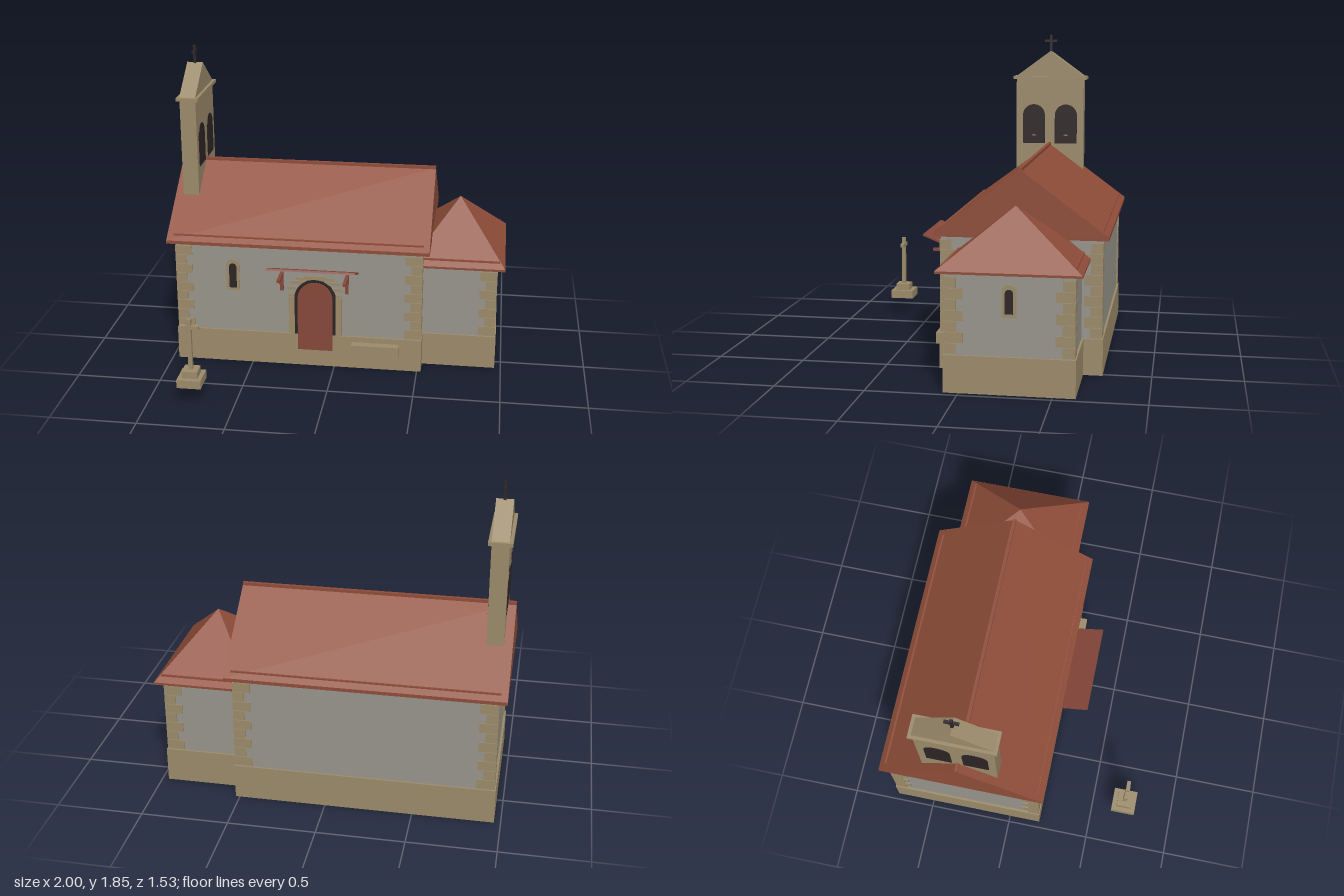
import * as THREE from 'three';

const mat = (name, color) => Object.assign(new THREE.MeshStandardMaterial({ color }), { name });

export function createModel() {
  const stone = mat('stone', 0x9c8b6b);
  const plaster = mat('plaster', 0x97958b);
  const tile = mat('roofTile', 0x8f4d39);
  const wood = mat('wood', 0x87483a);
  const dark = mat('darkOpening', 0x2d2424);

  const model = new THREE.Group();
  model.name = 'chapel';
  const ZC = -0.27; // long axis of the building

  const add = (name, geo, m, parent = model) => {
    const mesh = new THREE.Mesh(geo, m);
    mesh.name = name;
    parent.add(mesh);
    return mesh;
  };
  const group = (name) => {
    const g = new THREE.Group();
    g.name = name;
    model.add(g);
    return g;
  };
  // box given by its limits
  const box = (name, m, x0, x1, y0, y1, z0, z1, parent) => add(name,
    new THREE.BoxGeometry(x1 - x0, y1 - y0, z1 - z0)
      .translate((x0 + x1) / 2, (y0 + y1) / 2, (z0 + z1) / 2), m, parent);
  const polygon = (pts) => new THREE.Shape(pts.map(([x, y]) => new THREE.Vector2(x, y)));
  const extrude = (shape, depth) => new THREE.ExtrudeGeometry(shape, { depth, bevelEnabled: false, curveSegments: 10 });

  // hollow rectangle of walls, open at top and bottom
  const walls = (name, m, x0, x1, y0, y1, z0, z1, t) => {
    const rect = (d) => [[x0 + d, -z1 + d], [x1 - d, -z1 + d], [x1 - d, -z0 - d], [x0 + d, -z0 - d]];
    const shape = polygon(rect(0));
    shape.holes.push(polygon(rect(t)));
    add(name, extrude(shape, y1 - y0).rotateX(-Math.PI / 2).translate(0, y0, 0), m);
  };
  // profile across the building, extruded along x
  const prism = (name, m, pts, x0, x1, parent) =>
    add(name, extrude(polygon(pts), x1 - x0).rotateY(Math.PI / 2).translate(x0, 0, ZC), m, parent);
  // round-headed panel facing +z
  const arch = (w, y0, y1, depth) => {
    const r = w / 2;
    const s = new THREE.Shape();
    s.moveTo(-r, y0);
    s.lineTo(r, y0);
    s.lineTo(r, y1 - r);
    s.absarc(0, y1 - r, r, 0, Math.PI, false);
    s.lineTo(-r, y0);
    return extrude(s, depth);
  };

  // Plinths and walls
  walls('navePlinth', stone, -0.963, 0.524, 0, 0.205, -0.73, 0.19, 0.02);
  walls('apsePlinth', stone, 0.515, 0.963, 0, 0.205, -0.622, 0.082, 0.02);
  walls('naveWalls', plaster, -0.95, 0.515, 0.2, 0.785, -0.718, 0.178, 0.012);
  walls('apseWalls', plaster, 0.505, 0.95, 0.2, 0.67, -0.61, 0.07, 0.012);

  // Corner stones, long side alternating between the two faces
  const quoins = group('cornerStones');
  const corner = (x, z, sx, sz, rows) => {
    for (let i = 0; i < rows; i++) {
      const h = 0.059, y = 0.21 + i * h;
      const lx = i % 2 ? 0.066 : 0.102, lz = i % 2 ? 0.102 : 0.066;
      add('cornerStone', new THREE.BoxGeometry(lx, h - 0.003, lz)
        .translate(x - sx * lx / 2, y + h / 2, z - sz * lz / 2), stone, quoins);
    }
  };
  for (const s of [-1, 1]) {
    const zNave = ZC + s * 0.455;
    corner(-0.957, zNave, -1, s, 9);
    corner(0.521, zNave, 1, s, 9);
    corner(0.957, ZC + s * 0.347, 1, s, 7);
  }

  // Nave roof
  prism('naveRoof', tile, [[-0.488, 0.762], [0.488, 0.762], [0.488, 0.782], [0, 1.143], [-0.488, 0.782]], -1, 0.56);
  box('naveEavesTrim', tile, -0.963, 0.524, 0.78, 0.813, ZC - 0.457, ZC + 0.457);
  box('naveRidgeCap', tile, -1, 0.56, 1.12, 1.153, ZC - 0.01, ZC + 0.01);

  // Apse roof
  const pyramid = new THREE.CylinderGeometry(0, Math.SQRT1_2, 0.312, 4, 1).rotateY(Math.PI / 4)
    .scale(0.57, 1, 0.772).translate(0.715, 0.814, ZC).toNonIndexed();
  pyramid.computeVertexNormals();
  add('apseRoof', pyramid, tile);
  box('apseEaves', tile, 0.43, 1, 0.646, 0.659, ZC - 0.386, ZC + 0.386);
  box('apseEavesTrim', tile, 0.5, 0.966, 0.65, 0.694, ZC - 0.353, ZC + 0.353);

  // Bell gable
  const belfry = group('bellGable');
  box('bellWall', stone, -0.952, -0.856, 0.85, 1.57, ZC - 0.22, ZC + 0.22, belfry);
  box('bellCornice', stone, -0.97, -0.838, 1.565, 1.585, ZC - 0.24, ZC + 0.24, belfry);
  prism('bellPediment', stone, [[-0.222, 1.585], [0.222, 1.585], [0, 1.748]], -0.952, -0.856, belfry);
  for (const s of [-1, 1]) {
    for (const side of [-1, 1]) {
      const a = add('bellOpening', arch(0.145, 1.147, 1.402, 0.004), dark, belfry);
      a.rotation.y = side * Math.PI / 2;
      a.position.set(-0.904 + side * 0.047, 0, ZC + s * 0.105);
    }
    add('bell', new THREE.CylinderGeometry(0.035, 0.056, 0.05, 12)
      .translate(-0.904, 1.222, ZC + s * 0.105), dark, belfry);
  }
  box('roofCrossUpright', dark, -0.912, -0.896, 1.735, 1.853, ZC - 0.008, ZC + 0.008, belfry);
  box('roofCrossArm', dark, -0.912, -0.896, 1.805, 1.822, ZC - 0.04, ZC + 0.04, belfry);

  // Doorway
  const doorway = group('doorway');
  const DX = -0.115;
  add('doorRecess', arch(0.25, 0.2, 0.562, 0.008).translate(DX, 0, 0.177), dark, doorway);
  add('door', arch(0.21, 0.105, 0.545, 0.016).translate(DX, 0, 0.178), wood, doorway);
  for (const s of [-1, 1]) {
    const x = DX + s * 0.142;
    box('doorJamb', stone, x - 0.018, x + 0.018, 0.2, 0.45, 0.16, 0.187, doorway);
  }
  for (let i = 0; i <= 8; i++) {
    const a = Math.PI * i / 8;
    const x = DX + Math.cos(a) * 0.137, y = 0.455 + Math.sin(a) * 0.118;
    const w = 0.025 + 0.04 * Math.sin(a);
    box('archStone', stone, x - w, x + w, y - 0.008, y + 0.011, 0.17, 0.184, doorway);
  }

  // Canopy over the door, tilted up towards its outer edge
  const canopy = group('canopy');
  const slab = add('canopyBoard', new THREE.BoxGeometry(0.52, 0.011, 0.21), wood, canopy);
  slab.position.set(DX, 0.654, 0.267);
  slab.rotation.x = -0.385;
  for (const x of [-0.313, 0.077]) {
    box('canopyPost', wood, x - 0.01, x + 0.01, 0.492, 0.6, 0.185, 0.207, canopy);
    box('canopyBeam', wood, x - 0.01, x + 0.01, 0.588, 0.604, 0.13, 0.315, canopy);
  }

  // Narrow windows
  const slit = (name, x, z, y0, y1, turn) => {
    const g = group(name);
    add('windowSurround', arch(0.078, y0, y1, 0.008), stone, g);
    add('windowOpening', arch(0.044, y0 + 0.017, y1 - 0.026, 0.006).translate(0, 0, 0.004), dark, g);
    g.position.set(x, 0, z);
    g.rotation.y = turn;
  };
  slit('naveWindow', -0.61, 0.177, 0.47, 0.668, 0);
  slit('apseWindow', 0.949, ZC, 0.418, 0.592, Math.PI / 2);

  // Bench against the front wall
  box('bench', stone, 0.107, 0.39, 0.105, 0.171, 0.175, 0.237);

  // Free-standing stone cross
  const cross = group('stoneCross');
  const CX = -0.755, CZ = 0.695;
  const block = (name, w, y0, y1, d) =>
    box(name, stone, CX - w / 2, CX + w / 2, y0, y1, CZ - d / 2, CZ + d / 2, cross);
  block('crossBase', 0.14, 0.107, 0.157, 0.145);
  block('crossStep', 0.09, 0.157, 0.198, 0.09);
  block('crossShaft', 0.024, 0.198, 0.508, 0.024);
  block('crossArm', 0.112, 0.447, 0.47, 0.023);

  return model;
}
